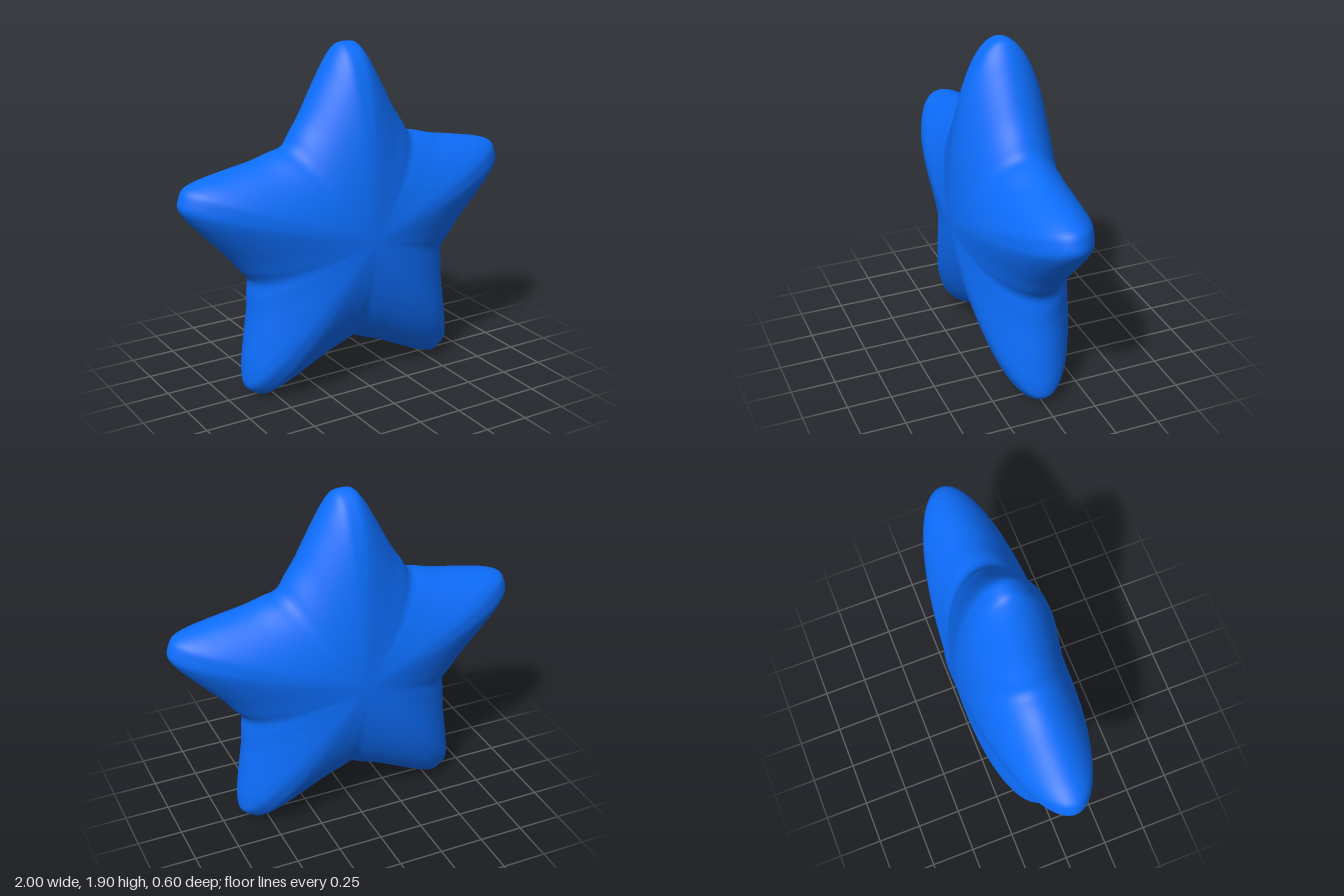
import * as THREE from 'three';
import { mergeVertices } from 'three/addons/utils/BufferGeometryUtils.js';

const CENTER_Y = 0.863, HALF_DEPTH = 0.3;

// Half of one arm, tip to valley: [sideways, outwards]
const HALF_ARM = [
  [0, 1.04], [0.05, 1.032], [0.1, 0.975], [0.145, 0.9],
  [0.2, 0.8], [0.265, 0.68], [0.325, 0.59], [0.375, 0.516],
];

// Closed counterclockwise outline: the half arm mirrored and repeated five times
function starOutline() {
  const left = HALF_ARM.map(([v, u]) => [-v, u]);
  const right = HALF_ARM.slice(1, -1).reverse();
  const points = [];
  for (let arm = 0; arm < 5; arm++) {
    const axis = new THREE.Vector3(0, 0, 1);
    for (const [v, u] of [...right, ...left]) {
      points.push(new THREE.Vector3(v, u, 0).applyAxisAngle(axis, arm * Math.PI * 2 / 5));
    }
  }
  return new THREE.CatmullRomCurve3(points, true, 'centripetal');
}

// Sphere whose circular sections are replaced by the star outline, poles on z
function puffyStar() {
  const around = 280, rings = 48;
  const rim = starOutline();
  const geometry = new THREE.SphereGeometry(1, around, rings);
  const pos = geometry.attributes.position;
  for (let i = 0; i < pos.count; i++) {
    const column = i % (around + 1);
    const theta = Math.floor(i / (around + 1)) / rings * Math.PI;
    const p = rim.getPoint((column % around) / around).multiplyScalar(Math.sin(theta));
    pos.setXYZ(i, p.x, p.y, HALF_DEPTH * Math.cos(theta));
  }
  // Weld the seam so the shading is continuous
  geometry.deleteAttribute('uv');
  geometry.deleteAttribute('normal');
  const welded = mergeVertices(geometry, 1e-5);
  welded.computeVertexNormals();
  return welded;
}

export function createModel() {
  const group = new THREE.Group();
  group.name = 'puffyStar';
  const star = new THREE.Mesh(puffyStar(), new THREE.MeshStandardMaterial({ color: 0x0d6efd }));
  star.name = 'starBody';
  star.position.y = CENTER_Y;
  group.add(star);
  return group;
}
